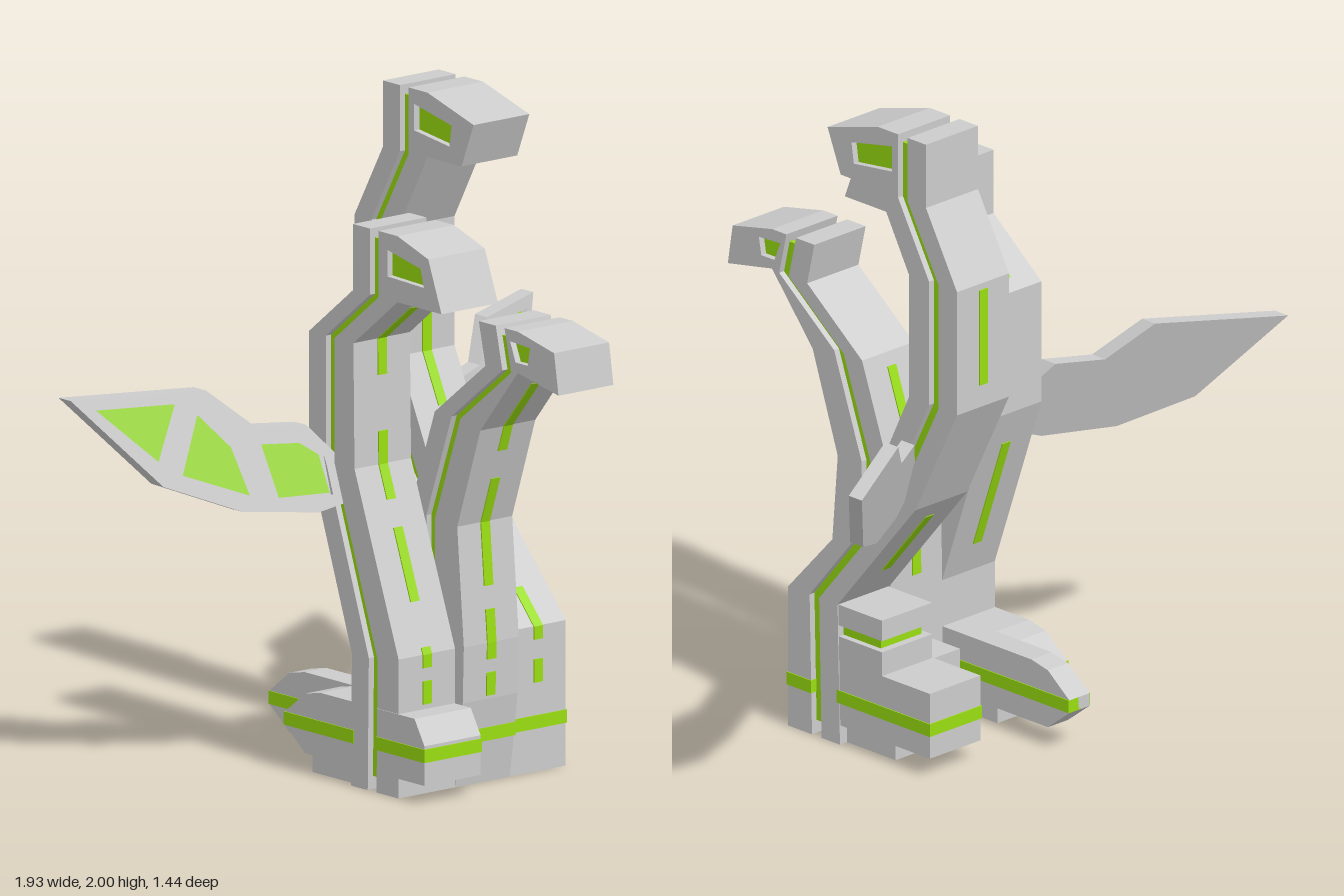
import * as THREE from 'three';

const grey = new THREE.MeshStandardMaterial({ color: 0xcccccc, flatShading: true });
const green = new THREE.MeshStandardMaterial({ color: 0x99dd11, flatShading: true });

const toShape = (pts) => new THREE.Shape(pts.map(([a, b]) => new THREE.Vector2(a, b)));

// Extrudes a side profile of [z, y] points from x0 to x1
function slab(name, pts, x0, x1, material, hole) {
  const shape = toShape(pts);
  if (hole) shape.holes.push(toShape(hole));
  const geo = new THREE.ExtrudeGeometry(shape, { depth: x1 - x0, bevelEnabled: false });
  geo.rotateY(-Math.PI / 2).translate(x1, 0, 0);
  const mesh = new THREE.Mesh(geo, material);
  mesh.name = name;
  return mesh;
}

const shift = (path, dz) => path.map(([z, y]) => [z + dz, y]);
const ribbon = (path, a, b) => [...shift(path, a), ...shift(path, b).reverse()];
const rect = (z0, z1, y0, y1) => [[z0, y0], [z1, y0], [z1, y1], [z0, y1]];

// Piece of a rising path between two heights
function cut(path, y0, y1) {
  const at = (y) => {
    const i = Math.max(1, path.findIndex((p) => p[1] >= y));
    const [p, q] = [path[i - 1], path[i]];
    return [p[0] + (q[0] - p[0]) * (y - p[1]) / (q[1] - p[1]), y];
  };
  return [at(y0), ...path.filter((p) => p[1] > y0 && p[1] < y1), at(y1)];
}

// A neck is a front half and a back half with a green core showing in the seam
function neck(name, x0, x1, { front, head, seam, eye, frontSlots, backSlots }) {
  const g = new THREE.Group();
  g.name = name;
  const mid = (x0 + x1) / 2, top = seam.at(-1)[1], back = shift(seam, -0.097);
  g.add(slab('frontHalf', [...front, ...head, ...shift(seam, 0.02).reverse()], x0, x1, grey, eye));
  g.add(slab('backHalf', ribbon(seam, -0.02, -0.097), x0, x1, grey));
  g.add(slab('seamCore', ribbon(cut(seam, 0.04, top - 0.03), 0.03, -0.03), x0 + 0.02, x1 - 0.02, green));
  g.add(slab('eyes', eye, x0 + 0.02, x1 - 0.02, green));
  // Dashes of light along the throat and the nape
  const light = (part, path, [a, b]) =>
    g.add(slab(part, ribbon(cut(path, a, b), 0.004, -0.004), mid - 0.017, mid + 0.017, green));
  frontSlots.forEach((s) => light('throatLight', front, s));
  backSlots.forEach((s) => light('napeLight', back, s));
  return g;
}

const tallNeck = () => neck('tallNeck', 0.095, 0.31, {
  front: [[0.235, 0], [0.235, 0.44], [0.005, 0.69], [-0.15, 0.93], [-0.27, 1.18], [-0.27, 1.57], [-0.14, 1.805]],
  head: [[0.015, 1.805], [0.07, 1.94], [-0.14, 2]],
  seam: [[0.115, 0], [0.125, 0.44], [-0.2, 0.83], [-0.375, 1.18], [-0.375, 1.57], [-0.245, 1.8], [-0.245, 2]],
  eye: [[-0.03, 1.92], [-0.2, 1.955], [-0.2, 1.875], [-0.04, 1.855]],
  frontSlots: [[0.27, 0.34], [0.4, 0.54], [0.66, 0.88], [1.03, 1.3], [1.43, 1.567]],
  backSlots: [[0.55, 0.77], [1.25, 1.55]],
});

const sideNeck = () => neck('sideNeck', -0.335, -0.117, {
  front: [[0.235, 0], [0.235, 0.42], [0.035, 0.96], [0.03, 1.34], [0.23, 1.5]],
  head: [[0.43, 1.5], [0.37, 1.655], [0.23, 1.7]],
  seam: [[0.115, 0], [0.12, 0.4], [-0.075, 0.96], [-0.075, 1.34], [0.125, 1.5], [0.125, 1.7]],
  eye: [[0.335, 1.62], [0.185, 1.65], [0.185, 1.57], [0.35, 1.565]],
  frontSlots: [[0.27, 0.34], [0.38, 0.44], [0.57, 0.78], [0.86, 1.06], [1.23, 1.46]],
  backSlots: [[0.5, 0.85], [1.37, 1.49]],
});

const middleNeck = () => neck('middleNeck', -0.117, 0.095, {
  front: [[0.235, 0], [0.27, 0.26], [0.275, 0.43], [0.245, 0.79], [0.35, 1.1], [0.52, 1.305]],
  head: [[0.705, 1.27], [0.685, 1.395], [0.52, 1.43]],
  seam: [[0.115, 0], [0.125, 0.8], [0.24, 1.12], [0.47, 1.3], [0.44, 1.43]],
  eye: [[0.575, 1.39], [0.485, 1.395], [0.51, 1.335], [0.565, 1.335]],
  frontSlots: [[0.27, 0.34], [0.38, 0.53], [0.6, 0.93], [1.02, 1.25]],
  backSlots: [[0.45, 0.7], [0.88, 1.08]],
});

// Wing: frame with three openings, green membranes and a plain back, all on one slanted plane
const wingOutline = [[0.29, 0.85], [0.38, 0.82], [0.575, 0.83], [0.765, 0.91], [0.96, 1.165],
  [0.61, 1.18], [0.5, 1.07], [0.37, 1.07], [0.29, 0.96]];
const membranes = [
  [[0.33, 0.87], [0.475, 0.86], [0.495, 1.02], [0.39, 1.02], [0.34, 0.98]],
  [[0.535, 0.87], [0.71, 0.94], [0.64, 1.12], [0.56, 1.01]],
  [[0.755, 0.97], [0.90, 1.135], [0.68, 1.145]],
];

function wing(name, side, dx, dz) {
  const g = new THREE.Group();
  g.name = name;
  const flipped = (pts) => toShape(pts.map(([x, y]) => [x * side, y]));
  const layer = (part, pts, z, depth, material, holes = []) => {
    const shape = flipped(pts);
    shape.holes = holes.map(flipped);
    const geo = new THREE.ExtrudeGeometry(shape, { depth, bevelEnabled: false });
    const p = geo.attributes.position;
    for (let i = 0; i < p.count; i++)
      p.setZ(i, p.getZ(i) + z - 0.19 - 0.59 * (Math.abs(p.getX(i)) - 0.31) - 0.3 * (p.getY(i) - 0.82));
    geo.computeVertexNormals();
    const mesh = new THREE.Mesh(geo, material);
    mesh.name = part;
    g.add(mesh);
  };
  layer('wingFrame', wingOutline, -0.03, 0.03, grey, membranes);
  layer('wingBack', wingOutline, -0.055, 0.025, grey);
  for (const m of membranes) layer('membrane', m, -0.035, 0.01, green);
  g.position.set(dx, 0, dz);
  return g;
}

// Foot from a side profile, with a green band around it
function foot(name, pts, x0, x1, zBack, zFront) {
  const g = new THREE.Group();
  g.name = name;
  const e = 0.003;
  g.add(slab('footBlock', pts, x0, x1, grey));
  g.add(slab('footBand', rect(zBack - e, zFront + e, 0.13, 0.17), x0 - e, x1 + e, green));
  return g;
}

// Back foot profile running to a blunt point at z = tip
const toe = (tip) => [[0.03, 0.06], [tip + 0.09, 0.06], [tip, 0.13], [tip, 0.17], [tip + 0.09, 0.24],
  [tip + 0.16, 0.255], [0.03, 0.255]];

export function createModel() {
  const model = new THREE.Group();
  model.name = 'threeHeadedDragon';
  model.add(tallNeck(), sideNeck(), middleNeck());
  model.add(wing('leftWing', 1, 0, 0), wing('rightWing', -1, -0.01, 0.17));

  // Front foot and the band across the front of the base
  model.add(foot('frontFoot', [[0.14, 0.06], [0.355, 0.06], [0.355, 0.18], [0.31, 0.255], [0.14, 0.255]],
    -0.337, -0.12, 0.14, 0.355));
  model.add(slab('middleBand', rect(0.14, 0.26, 0.13, 0.17), -0.117, 0.095, green));
  model.add(slab('sideBand', rect(0.136, 0.238, 0.13, 0.17), 0.09, 0.313, green));

  // Back foot under the side neck, with one long pointed toe
  model.add(foot('sideBackFoot', toe(-0.28), -0.335, -0.2, -0.28, 0.03));
  model.add(foot('longToe', toe(-0.51), -0.2, -0.117, -0.507, 0.03));

  // Stepped back foot under the tall neck
  model.add(foot('innerStep', rect(-0.16, 0.03, 0.06, 0.265), -0.01, 0.097, -0.16, 0.03));
  model.add(foot('tallBackFoot', rect(-0.355, 0.03, 0.06, 0.265), 0.097, 0.307, -0.355, 0.03));
  model.add(slab('upperStepBottom', rect(-0.155, 0.03, 0.265, 0.34), 0.1, 0.307, grey));
  model.add(slab('upperStepCore', rect(-0.13, 0.03, 0.34, 0.375), 0.12, 0.287, green));
  model.add(slab('upperStepTop', rect(-0.155, 0.03, 0.375, 0.44), 0.1, 0.307, grey));

  // Plates under the feet
  model.add(slab('tallSole', rect(-0.185, 0.03, 0, 0.06), 0.02, 0.28, grey));
  model.add(slab('sideSole', rect(-0.185, 0.03, 0, 0.06), -0.31, -0.14, grey));
  return model;
}
